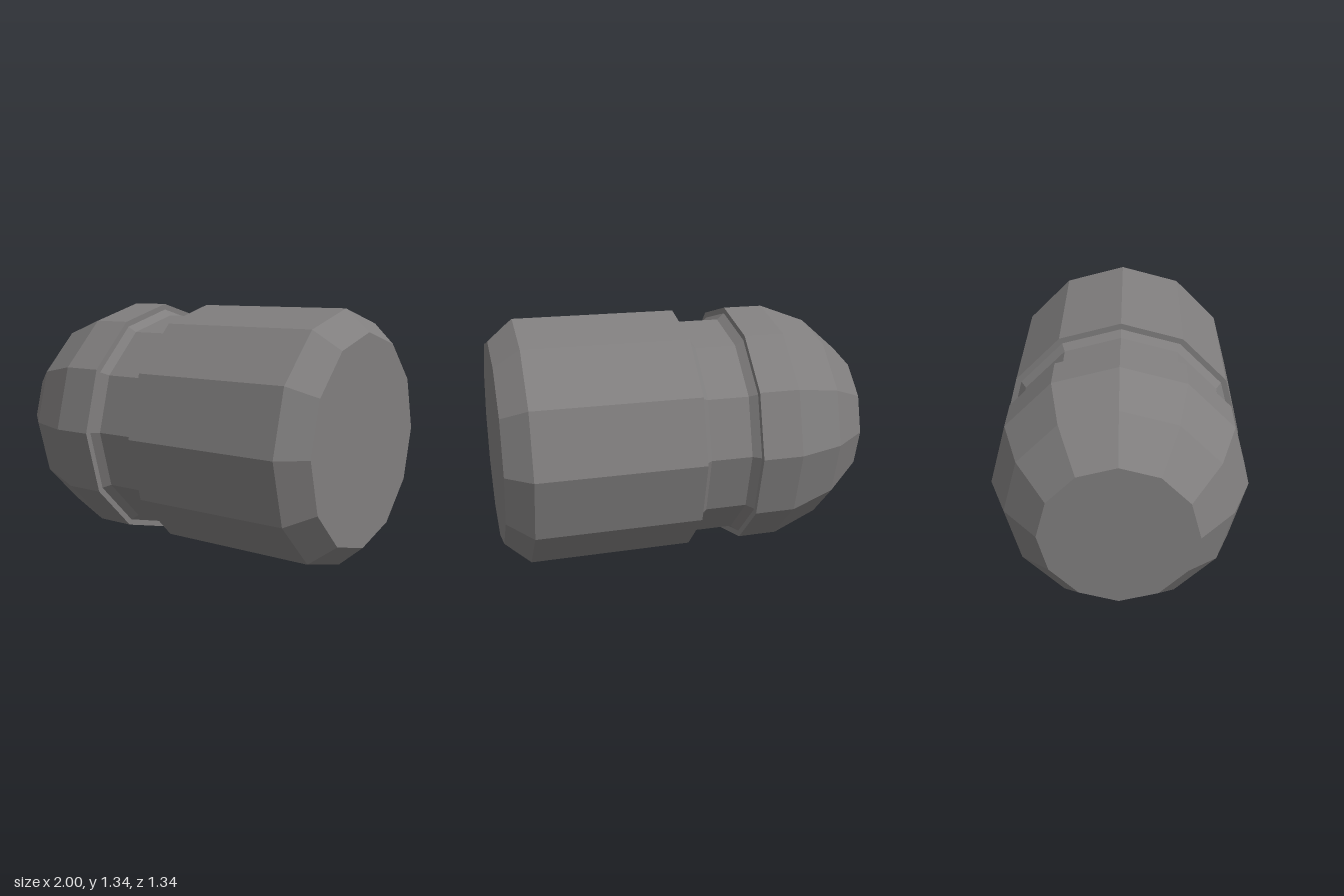
import * as THREE from 'three';

const RADIUS = 0.672;
const SIDES = 12;

export function createModel() {
  const group = new THREE.Group();
  group.name = 'capsule';
  const metal = new THREE.MeshStandardMaterial({ color: 0x807e7e, flatShading: true });
  metal.name = 'grey metal';

  // Turns a profile of [x, radius] points around the long (x) axis
  function turned(name, profile) {
    const points = profile.map(([x, r]) => new THREE.Vector2(r, x));
    const geometry = new THREE.LatheGeometry(points, SIDES);
    geometry.rotateZ(-Math.PI / 2);
    const mesh = new THREE.Mesh(geometry, metal);
    mesh.name = name;
    mesh.position.y = RADIUS;
    group.add(mesh);
  }

  // Rounded nose with a flat tip and a step down to the groove
  turned('nose', [
    [-1, 0], [-1, 0.395], [-0.79, 0.575], [-0.53, RADIUS],
    [-0.312, RADIUS], [-0.312, 0.64],
  ]);

  // Recessed ring with sloped shoulders
  turned('groove', [
    [-0.312, 0.64], [-0.272, 0.607], [-0.05, 0.607], [-0.01, 0.64],
  ]);

  // Long body with a chamfered, flat end
  turned('body', [
    [-0.01, 0.64], [-0.01, RADIUS], [0.867, RADIUS], [1, 0.557], [1, 0],
  ]);

  return group;
}
